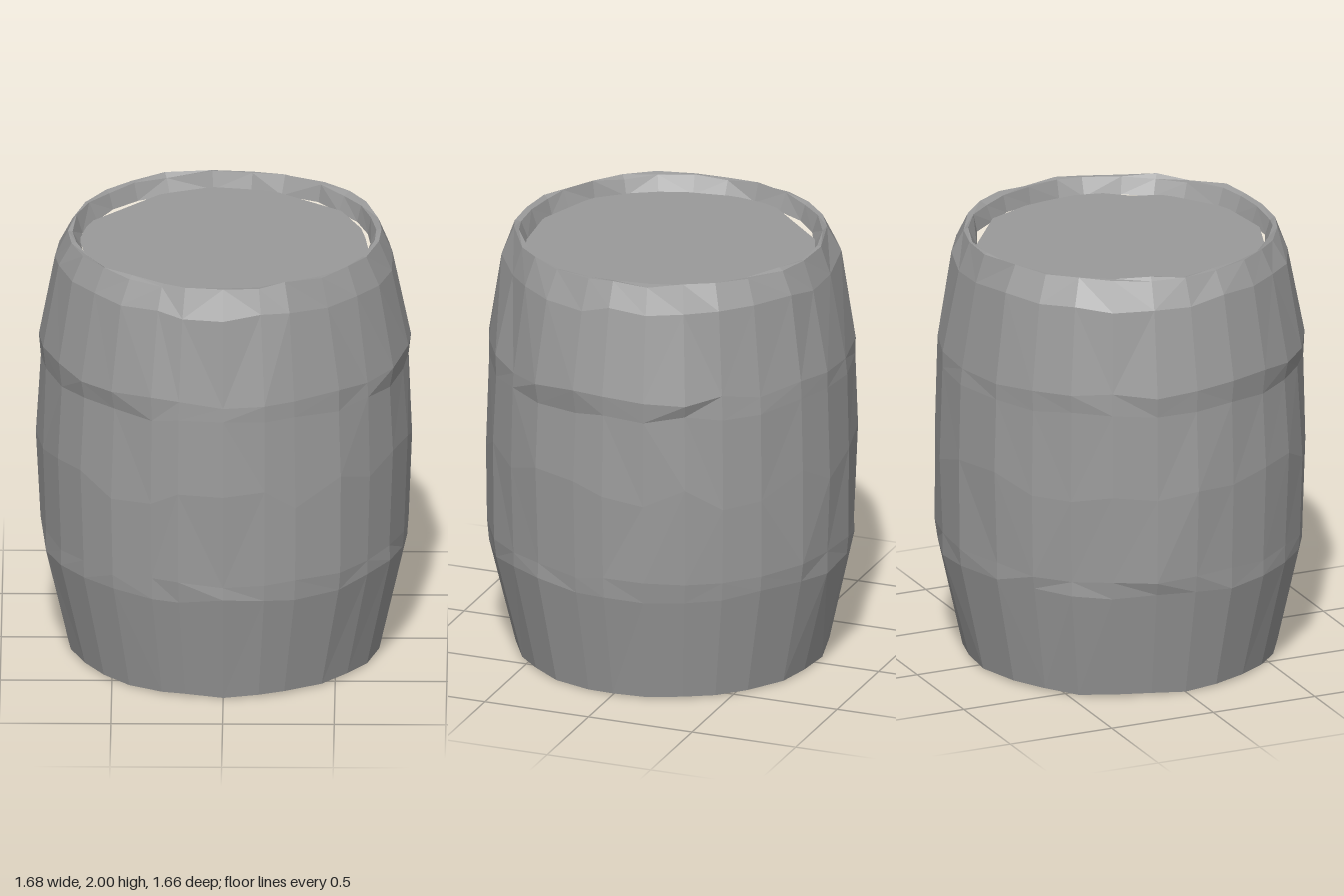
import * as THREE from 'three';

const material = new THREE.MeshStandardMaterial({ color: 0x9a9a9a, flatShading: true });

// Small seeded noise in -1..1 for the worn, hand-cut look
let seed = 7;
function noise() {
  seed = (seed * 16807) % 2147483647;
  return (seed / 2147483647) * 2 - 1;
}

// Uneven stave edges, in degrees around the axis (0 = +x, 90 = front)
const angles = [0, 10, 25, 38, 51, 67, 77, 90, 104, 113, 127, 140, 153, 167,
  180, 193, 207, 220, 233, 247, 265, 280, 293, 309, 322, 334, 347];

// Profile rings from the inner bottom lip, up the outside, to the inner top lip:
// radius, height, radial wobble, height wobble
const profile = [
  [0.65, 0.08, 0.012, 0],
  [0.67, 0.012, 0.008, 0.006],
  [0.703, 0.006, 0.005, 0.006],
  [0.815, 0.51, 0.007, 0.015],
  [0.823, 0.59, 0.009, 0.015],
  [0.832, 1.0, 0.005, 0.06],
  [0.818, 1.38, 0.007, 0.015],
  [0.826, 1.47, 0.013, 0.02],
  [0.755, 1.86, 0.012, 0.02],
  [0.703, 1.982, 0.007, 0.012],
  [0.678, 1.978, 0.007, 0.01],
  [0.65, 1.90, 0.012, 0],
];

function createShell() {
  const rings = profile.map(([r, y, dr, dy]) => angles.map((deg) => {
    const a = THREE.MathUtils.degToRad(deg);
    const radius = r + dr * noise();
    const height = THREE.MathUtils.clamp(y + dy * noise(), 0, 2);
    return new THREE.Vector3(radius * Math.cos(a), height, radius * Math.sin(a));
  }));
  // Widest points and rim extremes
  rings[5][0].set(0.84, 1, 0);
  rings[5][14].set(-0.845, 1, 0);
  rings[7][0].set(0.835, 1.48, 0);
  rings[9][5].y = 2;
  rings[2][7].y = 0;

  const points = [];
  for (let j = 0; j < rings.length - 1; j++) {
    for (let i = 0; i < angles.length; i++) {
      const k = (i + 1) % angles.length;
      const a = rings[j][i], b = rings[j][k], c = rings[j + 1][k], d = rings[j + 1][i];
      // Uneven diagonals break up the facets
      if (noise() > 0) points.push(a, d, c, a, c, b);
      else points.push(a, d, b, b, d, c);
    }
  }
  const geometry = new THREE.BufferGeometry().setFromPoints(points);
  geometry.computeVertexNormals();
  const mesh = new THREE.Mesh(geometry, material);
  mesh.name = 'barrelStaves';
  return mesh;
}

// Irregular lid outline, x and z; it leaves small gaps at the lip
const lidOutline = [
  [-0.61, -0.25], [-0.25, -0.62], [-0.05, -0.66], [0.21, -0.62], [0.52, -0.39],
  [0.61, -0.19], [0.63, -0.08], [0.65, 0.1], [0.62, 0.19], [0.53, 0.3], [0.48, 0.44],
  [0.22, 0.62], [-0.08, 0.65], [-0.4, 0.54], [-0.6, 0.29], [-0.65, -0.05],
];

function createLid(name, y, up) {
  const shape = new THREE.Shape(lidOutline.map(([x, z]) => new THREE.Vector2(x, -up * z)));
  const geometry = new THREE.ShapeGeometry(shape).rotateX(-up * Math.PI / 2);
  const mesh = new THREE.Mesh(geometry, material);
  mesh.position.y = y;
  mesh.name = name;
  return mesh;
}

export function createModel() {
  const group = new THREE.Group();
  group.name = 'barrel';
  group.add(createShell(), createLid('topLid', 1.91, 1), createLid('bottomLid', 0.08, -1));
  return group;
}
